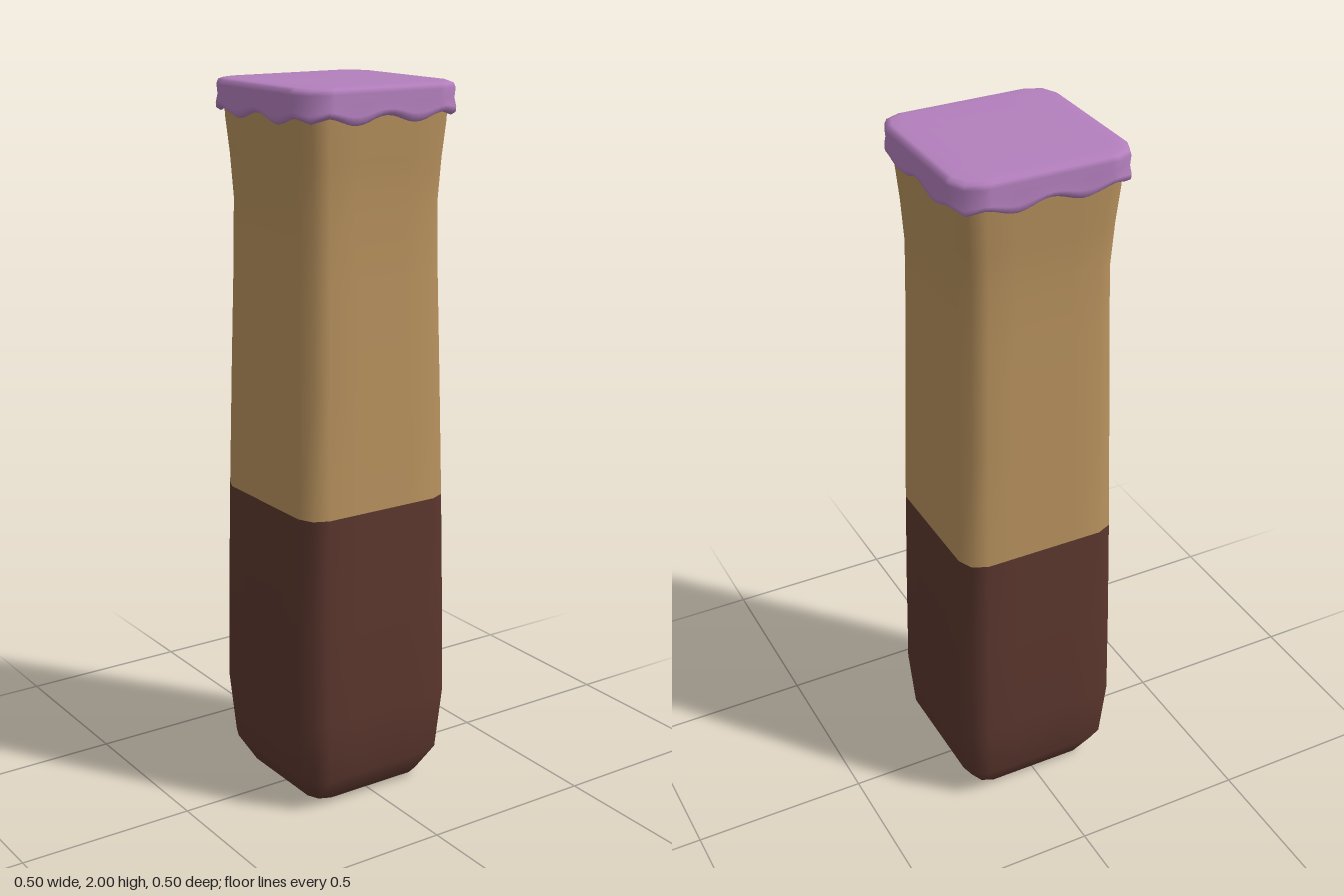
import * as THREE from 'three';

// Unit rounded-square outline; u is the position along its side (-1..1)
function outline(segments) {
  const side = [];
  for (let i = 0; i <= segments; i++) {
    const u = -0.74 + (1.48 * i) / segments;
    side.push({ x: 1, z: u, u });
  }
  side.push({ x: 0.92, z: 0.92, u: 1 });
  const points = [];
  for (let k = 0; k < 4; k++) {
    for (const p of side) {
      let { x, z } = p;
      for (let r = 0; r < k; r++) [x, z] = [-z, x];
      points.push({ x, z, u: p.u });
    }
  }
  return points;
}

// Lofts rings [halfWidth, y, waveAmount] from bottom to top; a width of 0 closes an end
function loft(rings, segments, wave = () => 0) {
  const loop = outline(segments);
  const n = loop.length;
  const positions = [];
  const index = [];
  for (const [w, y, amount = 0] of rings) {
    for (const p of loop) positions.push(p.x * w, y + amount * wave(p.u), p.z * w);
  }
  for (let j = 0; j < rings.length - 1; j++) {
    for (let i = 0; i < n; i++) {
      const a = j * n + i;
      const c = j * n + ((i + 1) % n);
      if (rings[j][0] > 0) index.push(a, a + n, c);
      if (rings[j + 1][0] > 0) index.push(c, a + n, c + n);
    }
  }
  const geometry = new THREE.BufferGeometry();
  geometry.setAttribute('position', new THREE.Float32BufferAttribute(positions, 3));
  geometry.setIndex(index);
  geometry.computeVertexNormals();
  return geometry;
}

export function createModel() {
  const group = new THREE.Group();
  const material = (name, color) => new THREE.MeshStandardMaterial({ name, color });
  const add = (name, geometry, mat) => {
    const mesh = new THREE.Mesh(geometry, mat);
    mesh.name = name;
    group.add(mesh);
  };

  // Dark lower half with a softly rounded foot
  add('lowerBody', loft([
    [0, 0], [0.13, 0.002], [0.185, 0.015], [0.228, 0.09], [0.243, 0.27], [0.239, 0.56], [0.233, 0.865],
  ], 4), material('darkBrown', 0x5c372e));

  // Tan upper half, flaring under the cap
  add('upperBody', loft([
    [0.233, 0.865], [0.225, 1.2], [0.217, 1.5], [0.214, 1.68], [0.221, 1.8], [0.23, 1.9], [0.231, 1.95],
  ], 4), material('tan', 0xb8925e));

  // Icing cap with a wavy dripping rim
  const drip = (u) => Math.cos((2 * Math.PI * u) / 0.78);
  add('icingCap', loft([
    [0.222, 1.925, 0.01], [0.238, 1.913, 0.011], [0.248, 1.92, 0.01], [0.249, 1.933, 0.008],
    [0.245, 1.955, 0.003], [0.247, 1.982], [0.243, 1.994], [0.232, 1.999], [0.2, 2], [0, 2],
  ], 20, drip), material('purple', 0xb37fbd));

  return group;
}
